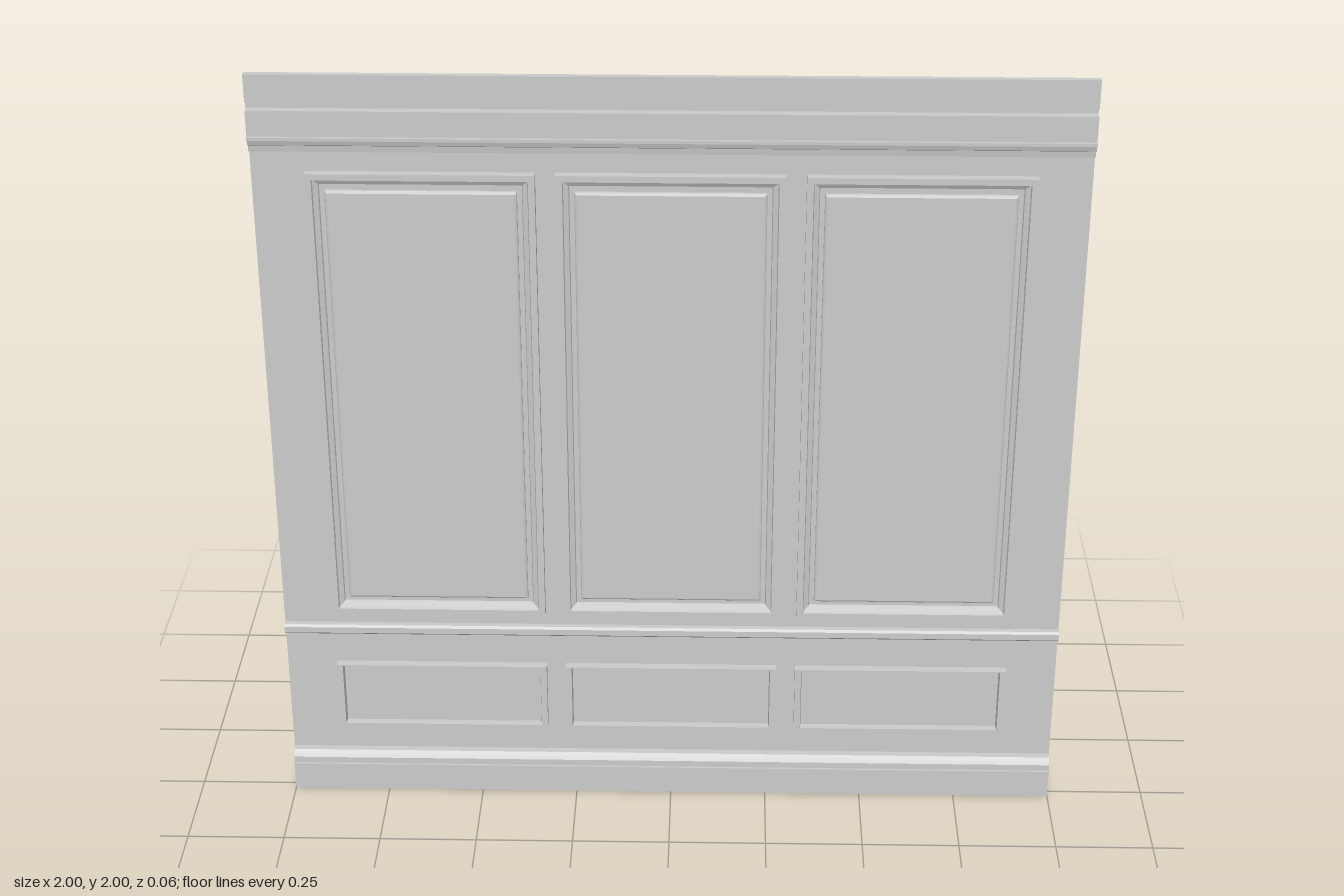
import * as THREE from 'three';

const material = new THREE.MeshStandardMaterial({ color: 0xcccccc, side: THREE.DoubleSide });

// Non-indexed geometry from quads (a, b, c, d counter-clockwise), with crisp facets
function quadGeometry(quads) {
  const pos = [];
  for (const [a, b, c, d] of quads) pos.push(...a, ...b, ...c, ...a, ...c, ...d);
  const g = new THREE.BufferGeometry();
  g.setAttribute('position', new THREE.Float32BufferAttribute(pos, 3));
  g.computeVertexNormals();
  return g;
}

// Moulding with open ends: profile of [z, y] points, bottom to top, swept along x
function moulding(profile) {
  const quads = [];
  for (let i = 0; i < profile.length - 1; i++) {
    const [z0, y0] = profile[i], [z1, y1] = profile[i + 1];
    quads.push([[-1, y0, z0], [1, y0, z0], [1, y1, z1], [-1, y1, z1]]);
  }
  return quadGeometry(quads);
}

// Moulding with closed ends
function solidMoulding(profile) {
  const shape = new THREE.Shape(profile.map(([z, y]) => new THREE.Vector2(-z, y)));
  const g = new THREE.ExtrudeGeometry(shape, { depth: 2, bevelEnabled: false });
  return g.translate(0, 0, -1).rotateY(Math.PI / 2);
}

// Nested rectangles joined into a frame; each step is [inset, z], outside to inside
function steppedRect(w, h, steps, insetScaleY = 1, fill = false) {
  const loops = steps.map(([inset, z]) => {
    const x = w / 2 - inset, y = h / 2 - inset * insetScaleY;
    return [[-x, -y, z], [x, -y, z], [x, y, z], [-x, y, z]];
  });
  const quads = [];
  for (let i = 0; i < loops.length - 1; i++) {
    for (let k = 0; k < 4; k++) {
      const n = (k + 1) % 4;
      quads.push([loops[i][k], loops[i][n], loops[i + 1][n], loops[i + 1][k]]);
    }
  }
  if (fill) quads.push(loops[loops.length - 1]);
  return quadGeometry(quads);
}

export function createModel() {
  const group = new THREE.Group();
  const add = (name, geometry, x = 0, y = 0, z = 0) => {
    const mesh = new THREE.Mesh(geometry, material);
    mesh.name = name;
    mesh.position.set(x, y, z);
    group.add(mesh);
  };
  const B = -0.002; // wall plane

  // Backing sheet
  add('wall', new THREE.PlaneGeometry(2, 1.93), 0, 0.965, B);

  // Skirting with a stepped top and a bead
  add('baseboard', solidMoulding([[B, 0], [0.022, 0], [0.022, 0.098], [B, 0.098]]));
  add('baseboardCap', moulding([[0.022, 0.098], [0.014, 0.104], [0.006, 0.112], [0.004, 0.119], [B, 0.119]]));
  add('baseboardBead', new THREE.BoxGeometry(2, 0.008, 0.007), 0, 0.077, 0.0245);

  // Middle rail
  add('chairRail', moulding([[B, 0.476], [0.012, 0.476], [0.017, 0.481], [0.017, 0.497], [0.012, 0.503], [B, 0.503]]));

  // Frieze with mouldings under it
  add('friezeMoulding', moulding([[B, 1.806], [0.008, 1.806], [0.01, 1.822], [0.018, 1.826], [0.022, 1.84]]));
  add('friezeBead', new THREE.BoxGeometry(2, 0.008, 0.01), 0, 1.844, 0.023);
  add('frieze', moulding([[0.02, 1.848], [0.02, 1.912], [B, 1.912]]));

  // Cornice board above a thin shelf that runs out behind the wall
  add('corniceShelf', moulding([[-0.034, 1.916], [0.006, 1.916], [0.006, 1.928], [-0.034, 1.928], [-0.034, 1.916]]));
  add('corniceBoard', moulding([[B, 1.93], [0.014, 1.93], [0.014, 2], [B, 2], [B, 1.93]]));

  // Three bays, each with a tall framed panel and a low framed panel
  const frame = [[0, B], [0, 0.02], [0.016, 0.02], [0.018, 0.012], [0.03, 0.006], [0.032, 0]];
  const lowFrame = [[0, B], [0, 0.02], [0.016, 0.02], [0.018, 0]];
  const field = [[0, B], [0, 0.004], [0.002, 0.007], [0.006, 0.009]];
  for (const x of [-0.597, 0, 0.597]) {
    add('tallPanelFrame', steppedRect(0.548, 1.214, frame), x, 1.147);
    add('tallPanelField', steppedRect(0.46, 1.123, field, 1, true), x, 1.145);
    add('lowPanelFrame', steppedRect(0.548, 0.182, lowFrame, 0.15), x, 0.294);
  }
  return group;
}
